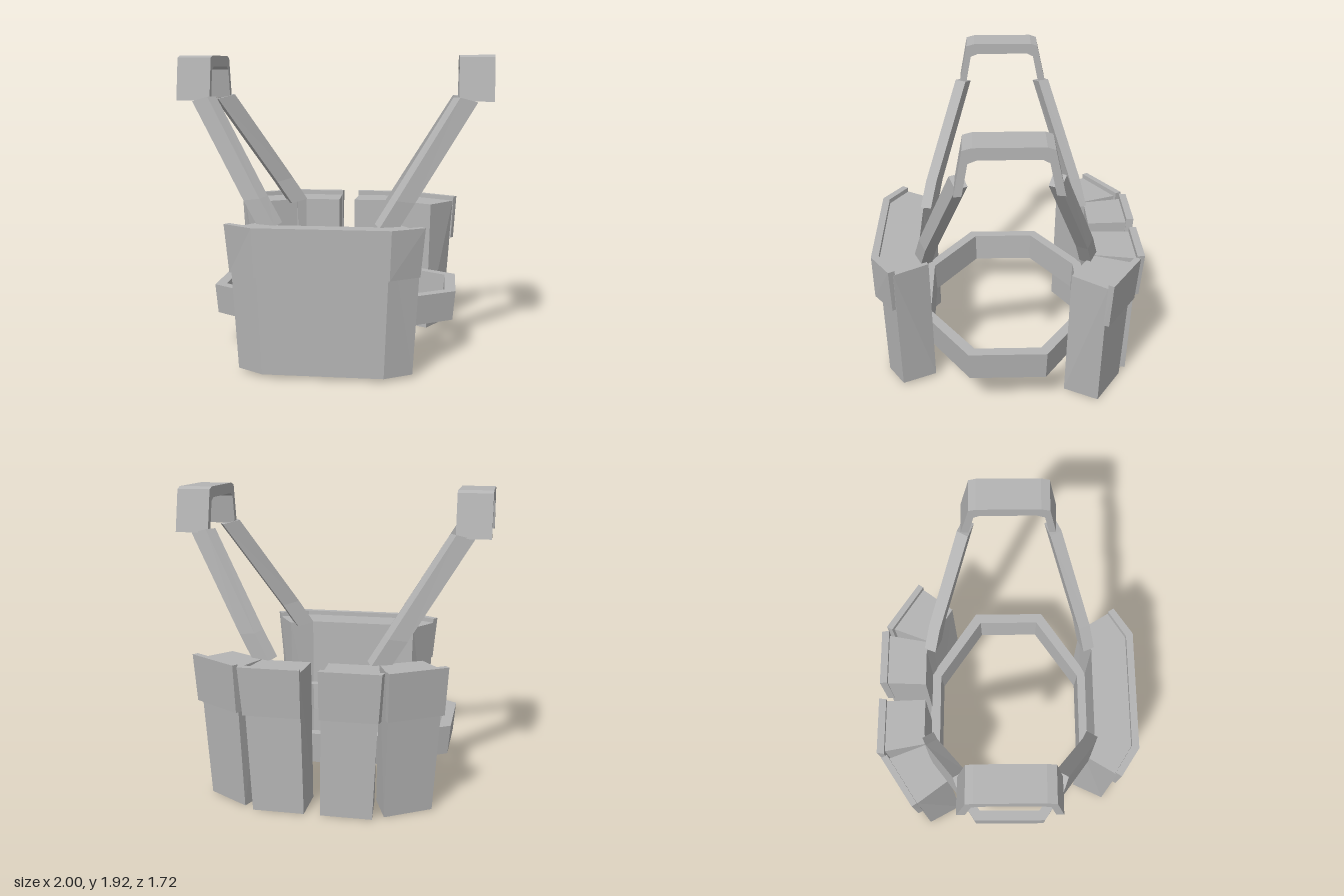
import * as THREE from 'three';

const grey = new THREE.MeshStandardMaterial({ color: 0xb4b4b4 });
grey.name = 'plainGrey';

// Flat-shaded solid through matching rings of [x, y, z]; capped unless closed into a loop
function loft(rings, closed = false) {
  const out = [];
  const n = rings[0].length;
  const last = closed ? rings.length : rings.length - 1;
  for (let i = 0; i < last; i++) {
    const a = rings[i], b = rings[(i + 1) % rings.length];
    for (let j = 0; j < n; j++) {
      const k = (j + 1) % n;
      out.push([a[j], b[j], b[k]], [a[j], b[k], a[k]]);
    }
  }
  if (!closed) {
    const flat = rings[0].map(p => new THREE.Vector2(p[0], p[2]));
    const sign = Math.sign(THREE.ShapeUtils.area(flat));
    for (const f of THREE.ShapeUtils.triangulateShape(flat, [])) {
      const same = Math.sign(THREE.ShapeUtils.area(f.map(i => flat[i]))) === sign;
      const [a, b, c] = same ? f : [f[0], f[2], f[1]];
      const s = rings[0], e = rings[rings.length - 1];
      out.push([s[a], s[b], s[c]], [e[a], e[c], e[b]]);
    }
  }
  // Turn every face outwards, whichever way the rings run
  const v = (p) => new THREE.Vector3(...p);
  let volume = 0;
  for (const [a, b, c] of out) volume += v(a).dot(v(b).cross(v(c)));
  const tris = volume < 0 ? out.map(([a, b, c]) => [a, c, b]) : out;
  const geo = new THREE.BufferGeometry();
  geo.setAttribute('position', new THREE.Float32BufferAttribute(tris.flat(2), 3));
  geo.computeVertexNormals();
  return geo;
}

// Outline of [x, z] points laid flat at height y, optionally mirrored across x
const level = (pts, y, s = 1) => pts.map(([x, z]) => [s * x, y, z]);
// Complete a right-hand outline with its mirrored half
const both = (half) => [...half, ...half.slice().reverse().map(([x, z]) => [-x, z])];

export function createModel() {
  const group = new THREE.Group();
  const add = (name, geo, parent = group) => {
    const m = new THREE.Mesh(geo, grey);
    m.name = name;
    parent.add(m);
    return m;
  };

  // Eight-sided belt, slightly flared towards the top
  const outer = [[0.785, 0.255], [0.3, 0.578], [-0.3, 0.578], [-0.785, 0.255],
    [-0.785, -0.235], [-0.3, -0.555], [0.3, -0.555], [0.785, -0.235]];
  const inner = [[0.715, 0.218], [0.285, 0.51], [-0.285, 0.51], [-0.715, 0.218],
    [-0.715, -0.2], [-0.285, -0.487], [0.285, -0.487], [0.715, -0.2]];
  add('belt', loft(outer.map(([x, z], i) => {
    const [u, w] = inner[i];
    return [[x * 0.978, 0.24, z * 0.978], [x, 0.43, z], [u, 0.43, w], [u * 0.978, 0.24, w * 0.978]];
  }), true));

  // Wide front pouch, its back hugging the belt, and its flap
  const front = new THREE.Group();
  front.name = 'frontPouch';
  group.add(front);
  add('frontPouchBody', loft([
    level(both([[0.3, 0.56], [0.43, 0.485], [0.53, 0.695], [0.365, 0.8]]), 0.02),
    level(both([[0.3, 0.575], [0.45, 0.5], [0.58, 0.71], [0.4, 0.82]]), 0.89),
  ]), front);
  const flapTop = [[0.41, 0.862], [0.6, 0.738], [0.575, 0.7], [0.39, 0.815]];
  const flapLow = [[0.4, 0.855], [0.572, 0.73], [0.548, 0.695], [0.38, 0.8]];
  const flapRing = (h) => [...h, ...h.slice().reverse().map(([x, z]) => [-x, z])];
  add('frontPouchFlap', loft([level(flapRing(flapLow), 0.625), level(flapRing(flapTop), 0.92)]), front);

  // Four back pouches: each has body and flap outlines at bottom and top
  const pouches = {
    innerBackPouch: {
      body: [[[0.05, -0.54], [0.05, -0.8], [0.37, -0.8], [0.34, -0.515], [0.3, -0.54]],
        [[0.055, -0.555], [0.065, -0.82], [0.415, -0.82], [0.36, -0.52], [0.3, -0.555]]],
      flap: [[[0.055, -0.8], [0.055, -0.845], [0.41, -0.845], [0.42, -0.8]],
        [[0.062, -0.815], [0.055, -0.84], [0.06, -0.863], [0.432, -0.863], [0.44, -0.845], [0.425, -0.815]]],
    },
    outerBackPouch: {
      body: [[[0.59, -0.365], [0.705, -0.575], [0.435, -0.75], [0.35, -0.51]],
        [[0.61, -0.385], [0.765, -0.59], [0.465, -0.785], [0.365, -0.53]]],
      flap: [[[0.755, -0.575], [0.772, -0.608], [0.46, -0.81], [0.44, -0.775]],
        [[0.77, -0.59], [0.792, -0.622], [0.468, -0.832], [0.447, -0.795]]],
    },
  };
  pouches.innerBackPouch.flap[1] = [[0.06, -0.815], [0.055, -0.863], [0.432, -0.863], [0.44, -0.815]];

  // Strap cross-sections at the belt and at the shoulder
  const strapLow = [[0.43, 0.87, 0.55], [0.32, 0.885, 0.595], [0.285, 0.9, 0.52], [0.39, 0.87, 0.48]];
  const strapTop = [[0.9, 1.63, 0.3], [0.79, 1.66, 0.34], [0.75, 1.66, 0.27], [0.86, 1.63, 0.235]];
  const strapMid = strapLow.map((p, i) =>
    p.map((c, k) => c + (strapTop[i][k] - c) * 0.21 + (k === 2 ? 0.013 : 0)));

  // Shoulder arch profile in (z, y)
  const arch = new THREE.Shape([[0.31, 1.635], [0.26, 1.905], [0.205, 1.92], [-0.19, 1.92],
    [-0.235, 1.905], [-0.295, 1.635], [-0.245, 1.64], [-0.205, 1.83], [-0.165, 1.85],
    [0.18, 1.85], [0.23, 1.83], [0.265, 1.64]].map(([z, y]) => new THREE.Vector2(z, y)));

  for (const [side, s] of [['left', 1], ['right', -1]]) {
    for (const [name, { body, flap }] of Object.entries(pouches)) {
      const p = new THREE.Group();
      p.name = `${side}_${name}`;
      group.add(p);
      add('pouchBody', loft([level(body[0], 0, s), level(body[1], 0.89, s)]), p);
      add('pouchFlap', loft([level(flap[0], 0.62, s), level(flap[1], 0.92, s)]), p);
    }
    const rings = [strapLow, strapMid, strapTop];
    add(`${side}FrontStrap`, loft(rings.map(r => r.map(([x, y, z]) => [s * x, y, z]))));
    add(`${side}BackStrap`, loft(rings.map(r => r.map(([x, y, z]) => [s * x, y, 0.025 - z]))));

    const geo = new THREE.ExtrudeGeometry(arch, { depth: 0.216, bevelEnabled: false });
    geo.rotateY(-Math.PI / 2);
    geo.translate(s > 0 ? 1 : -0.784, 0, 0);
    add(`${side}ShoulderArch`, geo);
  }
  return group;
}
